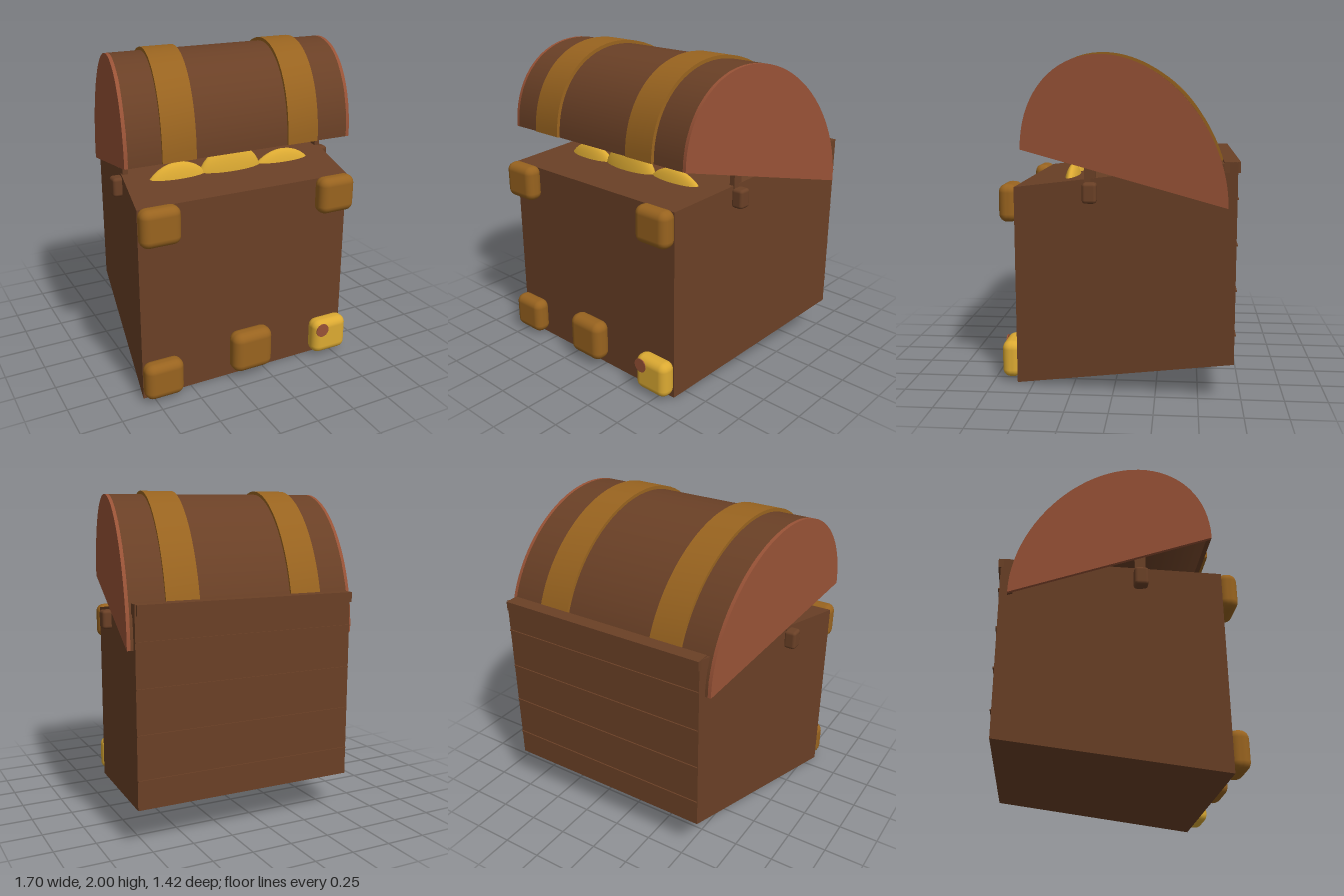
import * as THREE from 'three';
import { toCreasedNormals } from 'three/addons/utils/BufferGeometryUtils.js';
import { RoundedBoxGeometry } from 'three/addons/geometries/RoundedBoxGeometry.js';

const material = (name, color) => {
  const m = new THREE.MeshStandardMaterial({ color });
  m.name = name;
  return m;
};

// Extrudes a [z, y] outline along x, then leans it sideways with depth
function leanExtrude(outline, width, cx, lean) {
  const shape = new THREE.Shape(outline.map(([z, y]) => new THREE.Vector2(-z, y)));
  const geo = new THREE.ExtrudeGeometry(shape, { depth: width, bevelEnabled: false });
  geo.rotateY(Math.PI / 2);
  const p = geo.attributes.position;
  for (let i = 0; i < p.count; i++) {
    p.setX(i, p.getX(i) - width / 2 + cx - lean * p.getZ(i));
  }
  geo.computeVertexNormals();
  return toCreasedNormals(geo, 0.6);
}

// Half ellipse on the tilted lid chord, from front edge to back edge
function lidArc(scale, steps = 40) {
  const points = [];
  for (let i = 0; i <= steps; i++) {
    const a = (i / steps) * Math.PI;
    points.push([
      -0.05 + scale * 0.6 * Math.cos(a),
      1.29 + scale * (0.15 * Math.cos(a) + 0.675 * Math.sin(a)),
    ]);
  }
  return points;
}
const lidShell = (outer, inner) => [...lidArc(outer), ...lidArc(inner).reverse()];

export function createModel() {
  const model = new THREE.Group();
  model.name = 'treasureChest';

  const wood = material('wood', 0x6a4026);
  const endWood = material('redWood', 0x985236);
  const strap = material('bronze', 0x98631f);
  const gold = material('gold', 0xdcaa32);

  const add = (name, geo, mat, x = 0, y = 0, z = 0) => {
    const mesh = new THREE.Mesh(geo, mat);
    mesh.name = name;
    mesh.position.set(x, y, z);
    model.add(mesh);
    return mesh;
  };

  // Box with sloping floor and rim
  const side = [[0.6, 0.005], [0.6, 1.215], [-0.7, 1.395], [-0.7, 0.24]];
  add('body', leanExtrude(side, 1.395, -0.007, 0.178), wood);

  // Plank seams across the back
  for (const y of [0.41, 0.67, 0.93, 1.19]) {
    add('backSeam', new THREE.BoxGeometry(1.39, 0.008, 0.008), wood, 0.118, y, -0.704);
  }
  // Raised edge at the top of the back
  add('backRim', new THREE.BoxGeometry(1.39, 0.06, 0.09), wood, 0.112, 1.365, -0.67);

  // Hollow barrel lid with red end panels
  add('lid', leanExtrude(lidShell(1, 0.95), 1.43, -0.013, 0.187), wood);
  for (const s of [-1, 1]) {
    add('lidEnd', leanExtrude(lidArc(1), 0.022, -0.013 + s * 0.725, 0.187), endWood);
  }

  // Straps over the lid
  for (const x of [-0.425, 0.382]) {
    add('lidStrap', leanExtrude(lidShell(1.03, 0.99), 0.207, x, 0.187), strap);
  }

  // Front corner pads, one of them gold, and the lock plate
  const pad = new RoundedBoxGeometry(0.245, 0.23, 0.115, 3, 0.05);
  add('cornerPad', pad, strap, -0.695, 1.115, 0.64);
  add('cornerPad', pad, strap, 0.47, 1.115, 0.64);
  add('cornerPad', pad, strap, -0.695, 0.143, 0.64);
  add('goldCornerPad', pad, gold, 0.465, 0.143, 0.64);
  add('padPatch', new THREE.CylinderGeometry(0.045, 0.045, 0.006, 20).rotateX(Math.PI / 2),
    endWood, 0.397, 0.2, 0.697);
  add('lockPlate', new RoundedBoxGeometry(0.27, 0.265, 0.125, 3, 0.055), strap, -0.107, 0.185, 0.645);

  // Side lid stays
  for (const s of [-1, 1]) {
    const x = -0.03 + s * 0.72;
    add('stayBlock', new RoundedBoxGeometry(0.08, 0.12, 0.085, 2, 0.02), wood, x, 1.2, 0.135);
    add('stayRod', new THREE.BoxGeometry(0.035, 0.2, 0.065), wood, x - s * 0.04, 1.29, 0.135);
  }

  // Coins poking out under the lid: x, y, z, width, height, tilt
  const coins = [
    [-0.42, 1.125, 0.28, 0.23, 0.22, 0.12],
    [-0.07, 1.195, 0.28, 0.22, 0.205, 0.15],
    [0.31, 1.1, 0.28, 0.25, 0.23, -0.1],
  ];
  for (const [x, y, z, w, h, tilt] of coins) {
    const coin = add('coin', new THREE.SphereGeometry(1, 32, 20), gold, x, y, z);
    coin.scale.set(w, h, 0.06);
    coin.rotation.z = tilt;
  }

  return model;
}
